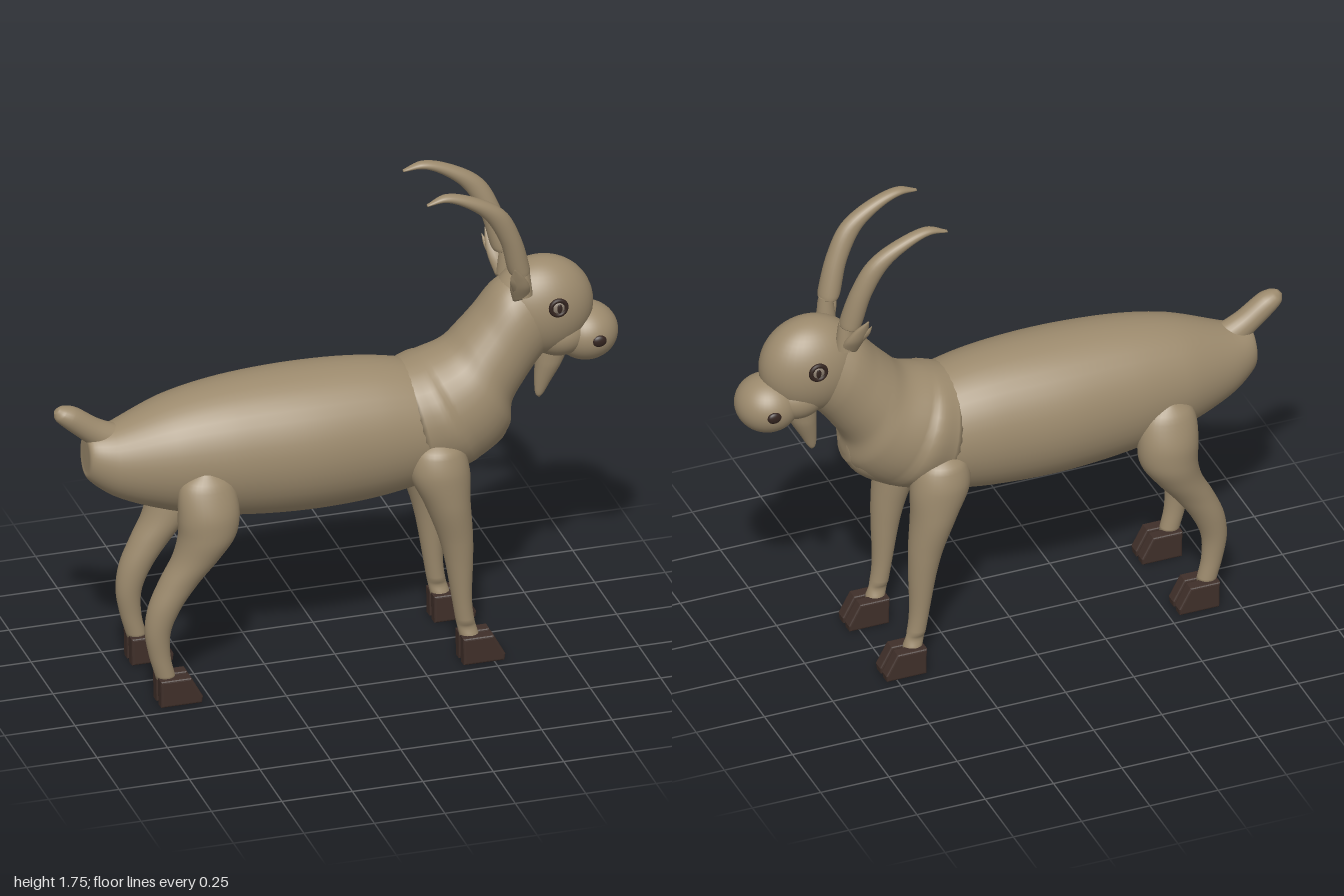
import * as THREE from 'three';

const mat = (name, color, side = THREE.FrontSide) => {
  const m = new THREE.MeshStandardMaterial({ color, side });
  m.name = name;
  return m;
};

// Smooth closed skin through elliptical sections.
// Section: [ax, ay, bx, by, halfZ, centreZ], a and b being opposite points of the ring.
function loft(sections, steps = 48, sides = 32) {
  const curve = (f) => new THREE.CatmullRomCurve3(sections.map(f));
  const A = curve((s) => new THREE.Vector3(s[0], s[1], 0));
  const B = curve((s) => new THREE.Vector3(s[2], s[3], 0));
  const Z = curve((s) => new THREE.Vector3(s[4], s[5] || 0, 0));
  const pos = [], index = [], centres = [];
  for (let i = 0; i <= steps; i++) {
    const a = A.getPoint(i / steps), b = B.getPoint(i / steps), z = Z.getPoint(i / steps);
    const c = a.clone().add(b).multiplyScalar(0.5);
    const u = a.clone().sub(c);
    centres.push([c.x, c.y, z.y]);
    for (let j = 0; j < sides; j++) {
      const t = (j / sides) * Math.PI * 2;
      pos.push(c.x + u.x * Math.cos(t), c.y + u.y * Math.cos(t), z.y + z.x * Math.sin(t));
      if (i === steps) continue;
      const p = i * sides + j, q = i * sides + (j + 1) % sides;
      index.push(p, q, p + sides, q, q + sides, p + sides);
    }
  }
  // End caps
  const first = pos.length / 3, last = steps * sides;
  pos.push(...centres[0], ...centres[steps]);
  for (let j = 0; j < sides; j++) {
    const k = (j + 1) % sides;
    index.push(first, k, j, first + 1, last + j, last + k);
  }
  const g = new THREE.BufferGeometry();
  g.setAttribute('position', new THREE.Float32BufferAttribute(pos, 3));
  g.setIndex(index);
  g.computeVertexNormals();
  return g;
}

// Leg sections from a descending axis: [x, y, radiusX, radiusZ, z]
const limb = (axis, s) => loft(axis.map(([x, y, r, rz, z]) => [x + r, y, x - r, y, rz, z * s]));

export function createModel() {
  const coat = mat('tan coat', 0x9c8a6d);
  const hoofMat = mat('dark brown hoof', 0x3f2f29);
  const dark = mat('dark eye and nostril', 0x33241f);
  const iris = mat('grey tan iris', 0x8c7f70);
  const goat = new THREE.Group();
  goat.name = 'goat';

  const add = (name, geometry, material, p = [0, 0, 0], s = [1, 1, 1]) => {
    const m = new THREE.Mesh(geometry, material);
    m.name = name;
    m.position.set(...p);
    m.scale.set(...s);
    goat.add(m);
    return m;
  };
  const ball = new THREE.SphereGeometry(1, 40, 28);

  // Barrel body, rump to chest
  add('body', loft([
    [-0.885, 0.93, -0.885, 0.83, 0.03],
    [-0.88, 0.96, -0.885, 0.81, 0.065],
    [-0.8, 0.985, -0.8, 0.735, 0.115],
    [-0.6, 1.06, -0.6, 0.655, 0.185],
    [-0.4, 1.097, -0.4, 0.612, 0.218],
    [-0.13, 1.11, -0.13, 0.592, 0.235],
    [0.12, 1.098, 0.12, 0.6, 0.22],
    [0.3, 1.06, 0.3, 0.63, 0.195],
    [0.45, 1.0, 0.45, 0.675, 0.165],
    [0.57, 0.93, 0.57, 0.745, 0.11],
    [0.61, 0.88, 0.61, 0.8, 0.05],
  ], 64, 40), coat);

  // Chest and neck
  add('neck', loft([
    [0.22, 1.07, 0.3, 0.65, 0.2],
    [0.3, 1.095, 0.5, 0.7, 0.2],
    [0.39, 1.125, 0.605, 0.8, 0.182],
    [0.445, 1.175, 0.615, 0.89, 0.163],
    [0.5, 1.235, 0.66, 0.965, 0.15],
    [0.57, 1.32, 0.71, 1.03, 0.138],
    [0.66, 1.37, 0.76, 1.08, 0.115],
  ]), coat);

  add('head', ball, coat, [0.73, 1.222, 0], [0.182, 0.178, 0.132]);
  add('muzzle', ball, coat, [0.888, 1.1, 0], [0.112, 0.101, 0.113]);
  add('jaw', ball, coat, [0.79, 1.12, 0], [0.11, 0.09, 0.11]);

  add('beard', loft([
    [0.83, 1.06, 0.71, 1.07, 0.05],
    [0.805, 1.0, 0.71, 1.0, 0.044],
    [0.765, 0.93, 0.708, 0.93, 0.026],
    [0.738, 0.882, 0.712, 0.88, 0.012],
    [0.725, 0.868, 0.723, 0.868, 0.002],
  ], 24, 20), coat);

  add('tail', loft([
    [-0.72, 0.84, -0.7, 0.99, 0.06],
    [-0.82, 0.88, -0.75, 0.985, 0.052],
    [-0.885, 0.94, -0.83, 1.015, 0.046],
    [-0.965, 1.01, -0.92, 1.075, 0.042],
    [-0.993, 1.04, -0.955, 1.084, 0.032],
    [-0.997, 1.065, -0.98, 1.083, 0.01],
  ], 30, 24), coat);

  // Cloven toe outline, heel to toe
  const toeShape = new THREE.Shape([
    [-0.064, 0.008], [0.066, 0.008], [0.068, 0.022], [0.03, 0.092], [-0.066, 0.092],
  ].map(([x, y]) => new THREE.Vector2(x, y)));
  const toe = new THREE.ExtrudeGeometry(toeShape, {
    depth: 0.03, bevelEnabled: true, bevelThickness: 0.008, bevelSize: 0.008, bevelSegments: 3,
  }).translate(0, 0, -0.015);

  for (const s of [1, -1]) {
    const side = s > 0 ? 'right' : 'left';
    const part = (name) => side + ' ' + name;

    add(part('front leg'), limb([
      [0.315, 0.85, 0.03, 0.03, 0.155],
      [0.315, 0.81, 0.085, 0.075, 0.16],
      [0.32, 0.73, 0.104, 0.092, 0.163],
      [0.346, 0.61, 0.08, 0.085, 0.166],
      [0.375, 0.48, 0.06, 0.064, 0.167],
      [0.387, 0.39, 0.049, 0.053, 0.167],
      [0.399, 0.23, 0.034, 0.038, 0.166],
      [0.41, 0.15, 0.032, 0.033, 0.166],
      [0.425, 0.09, 0.034, 0.033, 0.166],
    ], s), coat);

    add(part('hind leg'), limb([
      [-0.51, 0.86, 0.03, 0.03, 0.165],
      [-0.51, 0.81, 0.09, 0.065, 0.172],
      [-0.505, 0.7, 0.107, 0.087, 0.184],
      [-0.51, 0.62, 0.1, 0.09, 0.18],
      [-0.545, 0.54, 0.083, 0.08, 0.173],
      [-0.605, 0.45, 0.07, 0.064, 0.168],
      [-0.655, 0.36, 0.058, 0.054, 0.167],
      [-0.68, 0.27, 0.045, 0.044, 0.166],
      [-0.674, 0.18, 0.037, 0.036, 0.166],
      [-0.652, 0.09, 0.034, 0.033, 0.166],
    ], s), coat);

    for (const [name, x] of [['front hoof', 0.463], ['hind hoof', -0.61]])
      for (const z of [0.139, 0.194]) add(part(name), toe, hoofMat, [x, 0, z * s]);

    // Swept horn with a short stump under it
    add(part('horn'), loft([
      [0.592, 1.4, 0.66, 1.408, 0.041, 0.097 * s],
      [0.585, 1.412, 0.658, 1.425, 0.042, 0.098 * s],
      [0.553, 1.53, 0.622, 1.55, 0.037, 0.112 * s],
      [0.495, 1.635, 0.564, 1.658, 0.031, 0.124 * s],
      [0.42, 1.697, 0.455, 1.727, 0.026, 0.13 * s],
      [0.35, 1.727, 0.352, 1.754, 0.02, 0.132 * s],
      [0.285, 1.722, 0.285, 1.73, 0.007, 0.137 * s],
    ], 40, 24), coat);
    add(part('horn stump'), new THREE.CylinderGeometry(0.024, 0.036, 0.1, 24), coat, [0.637, 1.363, 0.088 * s]);

    // Small pointed ear with a side tuft
    add(part('ear'), loft([
      [0.6, 1.3, 0.66, 1.32, 0.02, 0.1 * s],
      [0.582, 1.36, 0.652, 1.36, 0.022, 0.125 * s],
      [0.578, 1.4, 0.628, 1.405, 0.015, 0.145 * s],
      [0.583, 1.452, 0.588, 1.452, 0.003, 0.169 * s],
    ], 20, 16), coat);
    add(part('ear tuft'), loft([
      [0.59, 1.35, 0.625, 1.36, 0.01, 0.13 * s],
      [0.575, 1.395, 0.59, 1.405, 0.007, 0.155 * s],
      [0.572, 1.43, 0.574, 1.43, 0.001, 0.168 * s],
    ], 10, 12), coat);

    // Eye: dark rim, pale iris, dark slot pupil
    add(part('eye'), ball, iris, [0.753, 1.264, 0.125 * s], [0.028, 0.026, 0.015]);
    add(part('eye rim'), new THREE.TorusGeometry(0.027, 0.008, 12, 32), dark, [0.753, 1.264, 0.131 * s]);
    add(part('pupil'), ball, dark, [0.755, 1.264, 0.139 * s], [0.009, 0.017, 0.004]);

    add(part('nostril'), ball, dark, [0.905, 1.104, 0.109 * s], [0.025, 0.021, 0.012]);
  }
  return goat;
}
